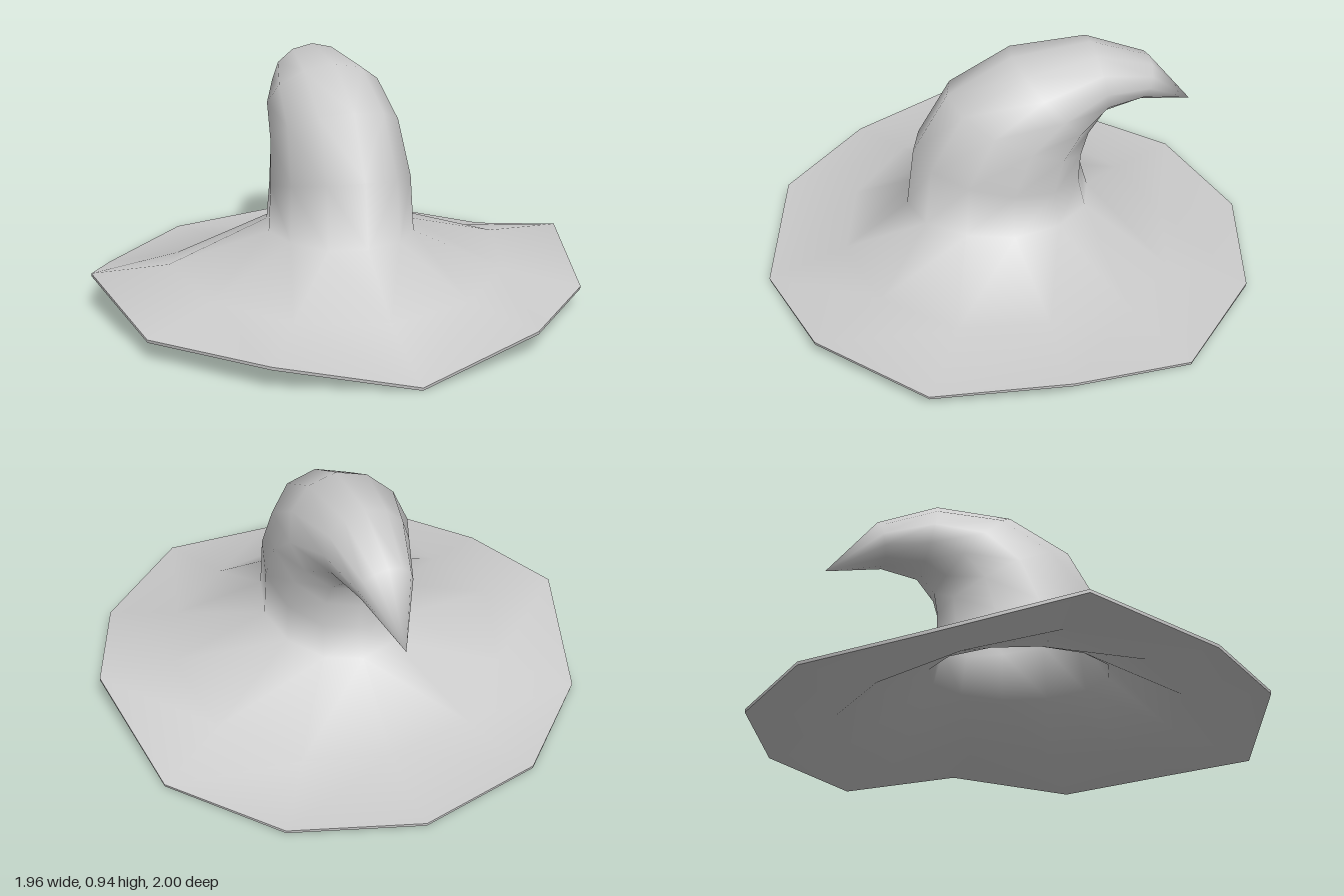
import * as THREE from 'three';

const SIDES = 12;
const THICKNESS = 0.012;

// Half-heights run from front (0 deg) round to back (180 deg) in 30 degree steps.
const brimRings = [
  { front: 1.0, back: -1.0, width: 0.98, heights: [0.012, 0.097, 0.086, 0.165, 0.018, 0.018, 0.018] },
  { front: 0.68, back: -0.67, width: 0.68, heights: [0.115, 0.12, 0.135, 0.17, 0.09, 0.045, 0.04] },
];

// Crown sections: front z, front y, back z, back y, half width.
const crownRings = [
  [0.42, 0.30, -0.33, 0.26, 0.288],
  [0.385, 0.55, -0.295, 0.385, 0.277],
  [0.245, 0.785, -0.295, 0.49, 0.258],
  [-0.01, 0.92, -0.31, 0.58, 0.235],
  [-0.32, 0.945, -0.37, 0.655, 0.165],
  [-0.56, 0.85, -0.515, 0.675, 0.105],
];
const TIP = [0, 0.62, -0.745];

function ringPoints(pointAt) {
  const out = [];
  for (let i = 0; i < SIDES; i++) out.push(...pointAt((i / SIDES) * Math.PI * 2, i));
  return out;
}

function makeGeometry(positions, index) {
  const g = new THREE.BufferGeometry();
  g.setAttribute('position', new THREE.Float32BufferAttribute(positions, 3));
  g.setIndex(index);
  g.computeVertexNormals();
  return g;
}

// Joins two rings of vertices, with diagonals mirrored left to right.
function joinRings(index, a0, b0) {
  for (let i = 0; i < SIDES; i++) {
    const j = (i + 1) % SIDES;
    const a = a0 + i, b = a0 + j, c = b0 + j, d = b0 + i;
    if (i < SIDES / 2) index.push(a, b, c, a, c, d);
    else index.push(a, b, d, b, c, d);
  }
}

function outerShell() {
  const positions = [];
  for (const r of brimRings) {
    positions.push(...ringPoints((t, i) => [
      Math.sin(t) * r.width,
      r.heights[Math.min(i, SIDES - i)],
      (r.front + r.back) / 2 + Math.cos(t) * (r.front - r.back) / 2,
    ]));
  }
  for (const [fz, fy, bz, by, w] of crownRings) {
    positions.push(...ringPoints((t) => [
      Math.sin(t) * w,
      (fy + by) / 2 + Math.cos(t) * (fy - by) / 2,
      (fz + bz) / 2 + Math.cos(t) * (fz - bz) / 2,
    ]));
  }
  positions.push(...TIP);

  const index = [];
  const rings = brimRings.length + crownRings.length;
  for (let k = 0; k < rings - 1; k++) joinRings(index, k * SIDES, (k + 1) * SIDES);
  const last = (rings - 1) * SIDES;
  for (let i = 0; i < SIDES; i++) index.push(last + i, last + (i + 1) % SIDES, rings * SIDES);
  return makeGeometry(positions, index);
}

// Lining: the outer shell pushed inward along its normals and turned inside out.
function innerShell(outer) {
  const p = outer.attributes.position, n = outer.attributes.normal;
  const positions = [];
  for (let i = 0; i < p.count; i++) {
    positions.push(
      p.getX(i) - n.getX(i) * THICKNESS,
      Math.max(0, p.getY(i) - n.getY(i) * THICKNESS),
      p.getZ(i) - n.getZ(i) * THICKNESS,
    );
  }
  return makeGeometry(positions, Array.from(outer.index.array).reverse());
}

// Thin band closing the edge of the brim.
function rimBand(outer, inner) {
  const count = SIDES * 3;
  const positions = [
    ...inner.attributes.position.array.slice(0, count),
    ...outer.attributes.position.array.slice(0, count),
  ];
  const index = [];
  joinRings(index, 0, SIDES);
  return makeGeometry(positions, index);
}

export function createModel() {
  const material = new THREE.MeshStandardMaterial({ color: 0xcccccc });
  const hat = new THREE.Group();
  hat.name = 'pointedHat';
  const outer = outerShell();
  const inner = innerShell(outer);
  const parts = { hatOuter: outer, hatLining: inner, brimEdge: rimBand(outer, inner) };
  for (const [name, geometry] of Object.entries(parts)) {
    const mesh = new THREE.Mesh(geometry, material);
    mesh.name = name;
    hat.add(mesh);
  }
  return hat;
}
